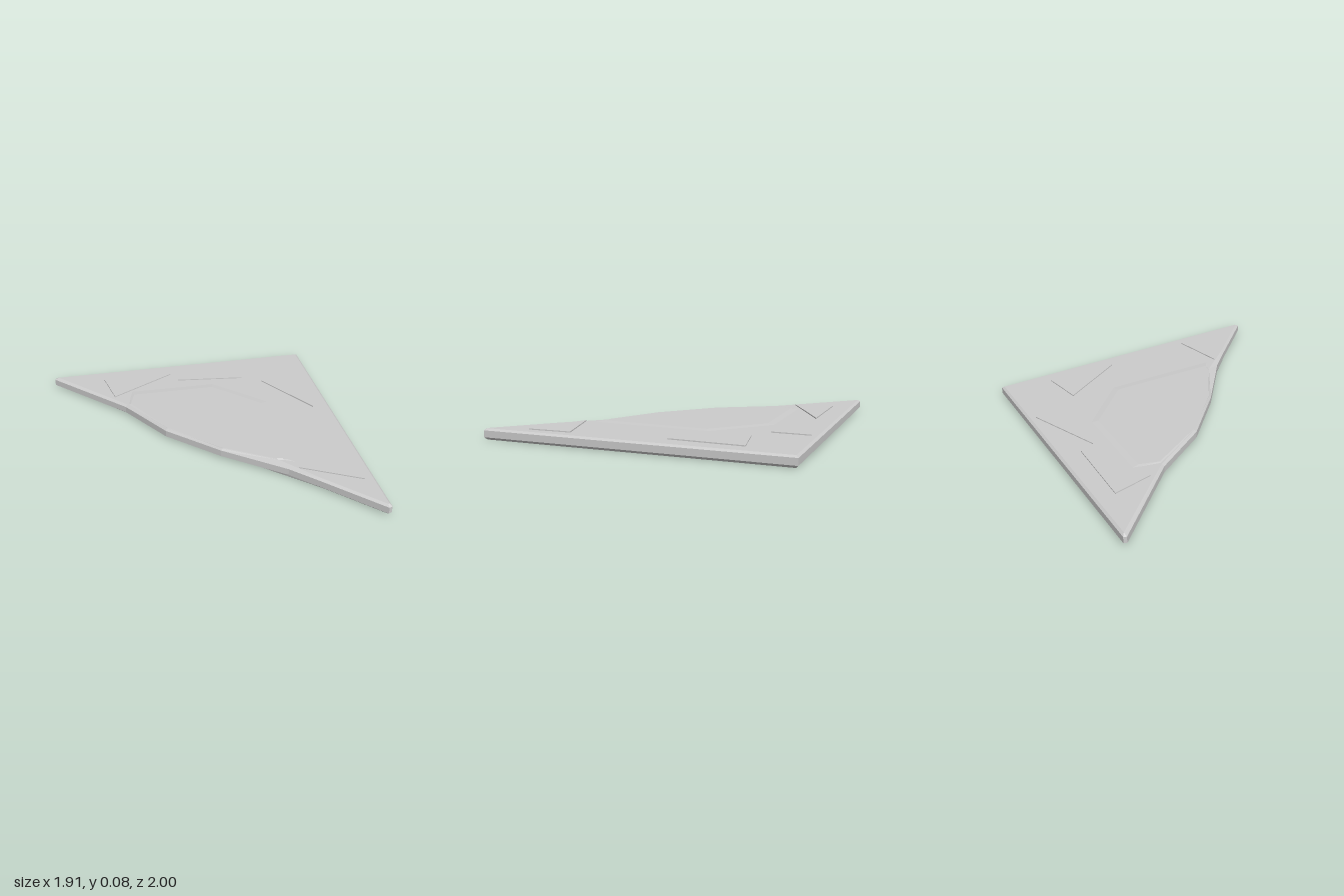
import * as THREE from 'three';

const material = new THREE.MeshStandardMaterial({ color: 0xcccccc, flatShading: true });

// Capped solid through stacked rings of [x, z] points (counter-clockwise seen from above)
function loft(name, levels) {
  const pos = [];
  const put = (y, p) => pos.push(p[0], y, p[1]);
  for (let l = 0; l < levels.length - 1; l++) {
    const [y0, a] = levels[l], [y1, b] = levels[l + 1];
    for (let i = 0; i < a.length; i++) {
      const j = (i + 1) % a.length;
      put(y0, a[i]); put(y0, a[j]); put(y1, b[j]);
      put(y0, a[i]); put(y1, b[j]); put(y1, b[i]);
    }
  }
  const cap = ([y, ring], up) => {
    const flat = ring.map(([x, z]) => new THREE.Vector2(x, -z));
    for (const [a, b, c] of THREE.ShapeUtils.triangulateShape(flat, [])) {
      for (const k of up ? [a, b, c] : [a, c, b]) put(y, ring[k]);
    }
  };
  cap(levels[0], false);
  cap(levels[levels.length - 1], true);
  const geometry = new THREE.BufferGeometry();
  geometry.setAttribute('position', new THREE.Float32BufferAttribute(pos, 3));
  geometry.computeVertexNormals();
  const mesh = new THREE.Mesh(geometry, material);
  mesh.name = name;
  return mesh;
}

export function createModel() {
  const group = new THREE.Group();
  group.name = 'triangularTile';

  // Bevelled slab with an irregular bulge along its long edge
  const outline = [
    [-0.953, -0.98], [-0.48, -0.48], [-0.25, -0.11], [0.07, 0.2], [0.45, 0.495],
    [0.61, 0.66], [0.93, 1], [0.953, 0.99], [0.953, -1], [-0.945, -1],
  ];
  const inner = [
    [-0.925, -0.985], [-0.465, -0.49], [-0.24, -0.12], [0.08, 0.195], [0.415, 0.4],
    [0.625, 0.65], [0.93, 0.975], [0.938, 0.975], [0.938, -0.985], [-0.92, -0.985],
  ];
  const bottom = inner.map((p) => [...p]);
  bottom[2] = [-0.21, -0.15];
  bottom[3] = [0.09, 0.16];
  bottom[4] = [0.43, 0.47];
  group.add(loft('slab', [[0, bottom], [0.016, outline], [0.06, outline], [0.072, inner]]));

  // Shallow faceted rise in the middle
  const riseFoot = [
    [-0.46, -0.49], [-0.238, -0.12], [0.08, 0.194], [0.41, 0.395],
    [0.54, 0.46], [0.55, -0.34], [0.2, -0.68], [-0.41, -0.69],
  ];
  const riseTop = [
    [-0.44, -0.49], [-0.235, -0.125], [0.08, 0.19], [0.4, 0.385],
    [0.46, 0.4], [0.48, -0.31], [0.18, -0.61], [-0.4, -0.615],
  ];
  group.add(loft('centralRise', [[0.07, riseFoot], [0.0755, riseTop]]));

  // Thin raised triangular plates
  const plates = [
    [[-0.59, -0.87], [-0.54, -0.61], [-0.09, -0.86]],
    [[-0.05, -0.76], [0.43, -0.7], [0.43, -0.95]],
    [[0.565, -0.62], [0.83, -0.19], [0.845, -0.67]],
    [[0.51, 0.51], [0.88, 0.71], [0.87, 0.43]],
  ];
  plates.forEach((ring, i) => group.add(loft(`raisedPlate${i + 1}`, [[0.066, ring], [0.079, ring]])));

  return group;
}
